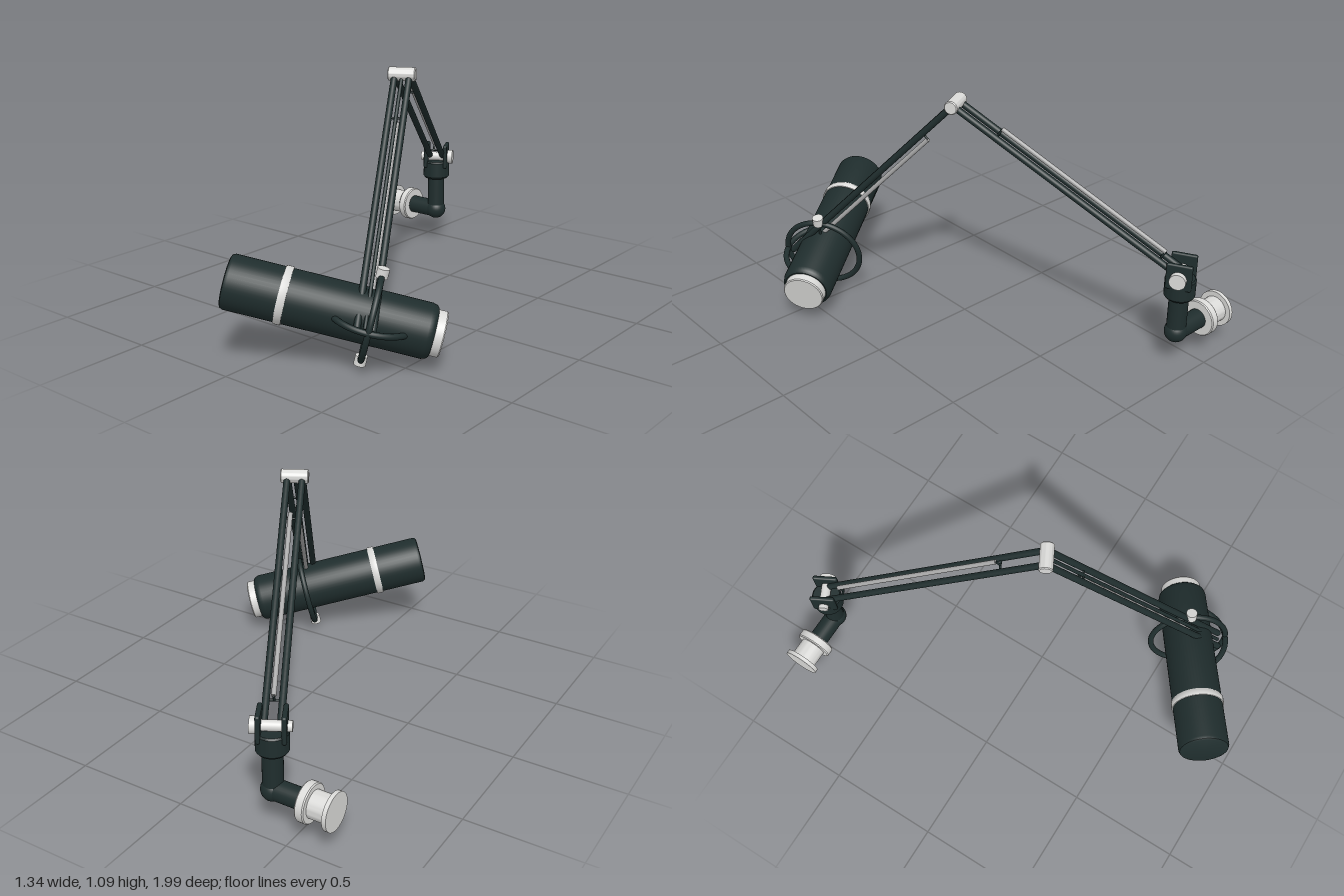
import * as THREE from 'three';
import { RoundedBoxGeometry } from 'three/addons/geometries/RoundedBoxGeometry.js';
import { toCreasedNormals } from 'three/addons/utils/BufferGeometryUtils.js';

const V = (x, y, z) => new THREE.Vector3(x, y, z);
const UP = V(0, 1, 0);

export function createModel() {
  const black = new THREE.MeshStandardMaterial({ color: 0x1f2d2d });
  black.name = 'charcoal black';
  const pale = new THREE.MeshStandardMaterial({ color: 0xdadad8 });
  pale.name = 'pale metal';
  const grey = new THREE.MeshStandardMaterial({ color: 0xa6a6a6 });
  grey.name = 'spring grey';

  const model = new THREE.Group();
  const group = (name) => {
    const g = new THREE.Group();
    g.name = name;
    model.add(g);
    return g;
  };
  const add = (parent, name, geo, mat) => {
    const m = new THREE.Mesh(geo, mat);
    m.name = name;
    parent.add(m);
    return m;
  };
  // Cylinder between two points
  const rod = (parent, name, a, b, r, mat, sides = 24) => {
    const m = add(parent, name, new THREE.CylinderGeometry(r, r, a.distanceTo(b), sides), mat);
    m.position.copy(a).lerp(b, 0.5);
    m.quaternion.setFromUnitVectors(UP, b.clone().sub(a).normalize());
    return m;
  };
  // Turned solid from [radius, height] pairs
  const turned = (pts) => toCreasedNormals(
    new THREE.LatheGeometry(pts.map(([r, y]) => new THREE.Vector2(r, y)), 48), 0.6);
  const at = (p, dir, t) => p.clone().addScaledVector(dir, t);

  const pivot = V(-0.39, 0.455, -0.917);
  const elbow = V(-0.075, 1.06, -0.025).setX(0.072);
  const wrist = V(0.45, 0.21, 0.69);
  const side = V(0.884, 0, -0.467).normalize();

  // Wall clamp, turned about the x axis
  const base = group('base');
  const clamp = add(base, 'clampSpool', turned([
    [0, 0], [0.081, 0], [0.081, 0.018], [0.058, 0.018], [0.058, 0.098],
    [0.079, 0.098], [0.083, 0.103], [0.083, 0.133], [0.079, 0.138], [0, 0.138],
  ]), pale);
  clamp.position.set(-0.672, 0.17, -0.917);
  clamp.rotation.z = -Math.PI / 2;

  // Bent post
  const bend = V(-0.39, 0.17, -0.917);
  rod(base, 'horizontalPipe', V(-0.54, 0.17, -0.917), bend, 0.044, black, 32);
  add(base, 'pipeElbow', new THREE.SphereGeometry(0.05, 32, 20), black).position.copy(bend);
  rod(base, 'verticalPipe', bend, V(-0.39, 0.36, -0.917), 0.042, black, 32);
  add(base, 'swivelCollar', turned([
    [0, 0.343], [0.058, 0.343], [0.066, 0.353], [0.066, 0.428], [0.06, 0.435], [0, 0.435],
  ]), black).position.set(-0.39, 0, -0.917);

  // Fork and pivot pin
  for (const s of [-1, 1]) {
    const plate = add(base, 'forkPlate', new RoundedBoxGeometry(0.02, 0.12, 0.11, 3, 0.008), black);
    plate.position.copy(at(pivot, side, s * 0.05)).setY(0.462);
    plate.rotation.y = Math.atan2(0.467, 0.884);
  }
  rod(base, 'pivotPin', at(pivot, side, -0.078), at(pivot, side, 0.06), 0.022, pale);
  rod(base, 'pivotKnob', at(pivot, side, 0.055), at(pivot, side, 0.085), 0.035, pale, 32);

  // Each arm: two rods and a spring on one face
  const arm = (name, a, b, springSide, t0, t1) => {
    const g = group(name);
    const dir = b.clone().sub(a).normalize();
    const normal = UP.clone().addScaledVector(dir, -dir.y).normalize().multiplyScalar(springSide);
    for (const s of [-0.032, 0.032]) {
      rod(g, 'armRod', at(a, side, s), at(b, side, s), 0.0145, black);
      for (const p of [a, b]) {
        add(g, 'rodEnd', new THREE.SphereGeometry(0.0145, 16, 12), black).position.copy(at(p, side, s));
      }
    }
    const ends = [t0, t1].map((t) => a.clone().lerp(b, t));
    const lifted = ends.map((p) => at(p, normal, 0.036));
    rod(g, 'spring', lifted[0], lifted[1], 0.01, grey);
    ends.forEach((p, i) => {
      rod(g, 'springPost', p, lifted[i], 0.005, black, 12);
      rod(g, 'crossPin', at(p, side, -0.032), at(p, side, 0.032), 0.005, black, 12);
    });
    return g;
  };
  arm('lowerArm', pivot, elbow, 1, 0.09, 0.81);
  const upper = arm('upperArm', elbow, wrist, -1, 0.19, 0.9);
  rod(upper, 'centreRod', elbow, wrist, 0.008, black, 16);

  const joint = add(model, 'elbowJoint', turned([
    [0, -0.06], [0.026, -0.06], [0.03, -0.056], [0.03, 0.056], [0.026, 0.06], [0, 0.06],
  ]), pale);
  joint.position.copy(elbow);
  joint.quaternion.setFromUnitVectors(UP, side);

  // Microphone: local y runs from the front end to the tail, local z is its upper side
  const mic = group('microphone');
  const axis = V(0.796, -0.234, -0.558).normalize();
  const top = UP.clone().addScaledVector(axis, -axis.y).normalize();
  const out = axis.clone().cross(top);
  mic.quaternion.setFromRotationMatrix(new THREE.Matrix4().makeBasis(out, axis, top));
  mic.position.set(0.383, 0.208, 0.568);

  add(mic, 'body', turned([
    [0, -0.592], [0.1, -0.592], [0.108, -0.588], [0.113, -0.577], [0.113, 0.225],
    [0.108, 0.243], [0.098, 0.252], [0, 0.252],
  ]), black);
  add(mic, 'trimRing', turned([
    [0.11, -0.372], [0.117, -0.372], [0.119, -0.368], [0.119, -0.344], [0.117, -0.34], [0.11, -0.34],
  ]), pale);
  add(mic, 'tailCap', turned([
    [0, 0.245], [0.093, 0.245], [0.093, 0.286], [0.089, 0.291], [0, 0.291],
  ]), pale);

  // Yoke ring round the body, with a half-ring handle that meets the arm
  add(mic, 'yokeRing', new THREE.TorusGeometry(0.175, 0.013, 16, 64), black).rotation.x = Math.PI / 2;
  add(mic, 'yokeHandle', new THREE.TorusGeometry(0.175, 0.013, 16, 40, Math.PI), black)
    .rotation.z = out.z > 0 ? -Math.PI / 2 : Math.PI / 2;
  for (const s of [-1, 1]) {
    rod(mic, 'yokePin', V(0, 0, s * 0.1), V(0, 0, s * 0.175), 0.006, black, 12);
    rod(mic, 'yokeKnob', V(0, 0, s * 0.17), V(0, 0, s * 0.21), 0.025, pale);
  }
  return model;
}
